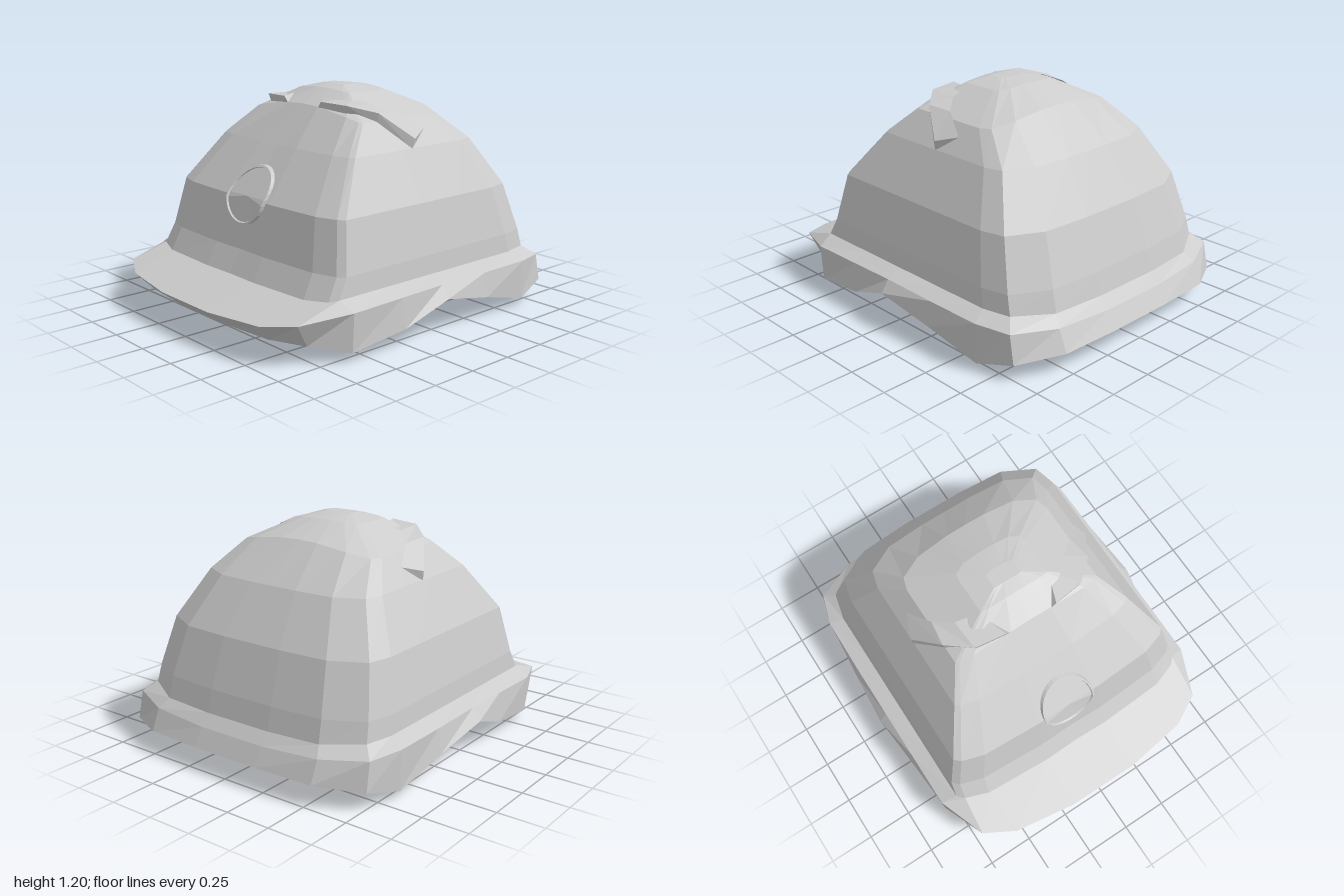
import * as THREE from 'three';

const V = (x, y, z) => new THREE.Vector3(x, y, z);

// Faceted skin over a list of point rows; closed rows wrap around, ends may be capped
function loft(rows, closed = true, capStart = false, capEnd = false) {
  const pos = [];
  const tri = (a, b, c) => {
    for (const p of [a, b, c]) pos.push(p.x, p.y, p.z);
  };
  for (let r = 0; r < rows.length - 1; r++) {
    const lo = rows[r], hi = rows[r + 1], n = lo.length;
    for (let j = 0; j < (closed ? n : n - 1); j++) {
      const k = (j + 1) % n;
      tri(lo[j], lo[k], hi[k]);
      tri(lo[j], hi[k], hi[j]);
    }
  }
  const cap = (row, flip) => {
    const c = row.reduce((s, p) => s.add(p), V(0, 0, 0)).divideScalar(row.length);
    row.forEach((p, j) => {
      const q = row[(j + 1) % row.length];
      if (flip) tri(c, q, p); else tri(c, p, q);
    });
  };
  if (capStart) cap(rows[0], true);
  if (capEnd) cap(rows[rows.length - 1], false);
  const g = new THREE.BufferGeometry();
  g.setAttribute('position', new THREE.Float32BufferAttribute(pos, 3));
  g.computeVertexNormals();
  return g;
}

// Half outlines running from front centre round the left side to back centre
const BASE = [[0, .28, .715], [.2, .28, .72], [.57, .28, .70], [.70, .29, .655], [.735, .3, .62], [.735, .3, .27], [.735, .3, 0],
  [.735, .3, -.33], [.735, .3, -.62], [.70, .3, -.77], [.5, .285, -.88], [.2, .28, -.9], [0, .28, -.9]];
const RIM = [[0, .19, 1], [.2, .19, 1], [.55, .2, .95], [.72, .225, .86], [.82, .255, .6], [.82, .26, .28], [.82, .265, 0],
  [.82, .262, -.33], [.815, .26, -.65], [.76, .25, -.83], [.53, .235, -.93], [.2, .22, -.95], [0, .22, -.95]];
const HEM = [[0, .1, .89], [.2, .1, .89], [.5, .1, .86], [.69, .1, .78], [.81, .055, .6], [.835, .1, .27], [.865, .2, 0],
  [.84, .13, -.33], [.81, .045, -.65], [.765, .1, -.86], [.53, .12, -.98], [.2, .125, -1], [0, .125, -1]];

const ring = (half) => [
  ...half.map((p) => V(...p)),
  ...half.slice(1, -1).reverse().map(([x, y, z]) => V(-x, y, z)),
];

// Dome level: the base outline rescaled, with the sides sagging by drop
function level(y, halfWidth, front, back, drop = 0) {
  return ring(BASE.map(([x, , z]) => {
    const u = x / .735;
    return [u * halfWidth, y - drop * u * u, z > 0 ? z * front / .72 : z * back / .9];
  }));
}

// Depth of the dome's front face at height y
const frontZ = (y) => (y < .66 ? .655 - (y - .4) * .21 : .6 - (y - .66) * .84);

export function createModel() {
  const model = new THREE.Group();
  const shell = new THREE.MeshStandardMaterial({ color: 0xcccccc });
  shell.name = 'light grey shell';
  const add = (name, geometry) => {
    const mesh = new THREE.Mesh(geometry, shell);
    mesh.name = name;
    model.add(mesh);
  };

  // Dome
  add('dome', loft([
    ring(BASE),
    level(.4, .725, .655, .87),
    level(.66, .67, .6, .78),
    level(.915, .535, .39, .61),
    level(1.115, .43, .22, .4, .06),
    level(1.19, .2, .08, .2, .015),
    level(1.205, .08, .01, .08),
  ], true, false, true));

  // Brim and its closed, banded underside
  add('brim', loft([ring(HEM), ring(RIM), ring(BASE)]));
  add('underside', loft(HEM.slice(1, -1).map(([x, y, z], i) =>
    [1, .5, 0, -.5, -1].map((t) => {
      const sag = i === 7 ? 1 - t * t : 0;
      return V(x * t, y - .037 * sag, z + .03 * sag);
    })), false));

  // Raised brow ridges: inner edge, outer top edge, outer lower edge
  const brow = [
    [[.21, 1.15, .06], [.15, 1.14, .225], [.11, 1.09, .22]],
    [[.33, 1.13, .03], [.32, 1.135, .2], [.3, 1.07, .19]],
    [[.42, 1.09, -.05], [.44, 1.10, .09], [.43, 1.04, .09]],
    [[.49, 1.0, -.19], [.545, .965, -.07], [.535, .91, -.06]],
  ];
  for (const side of [1, -1]) {
    const rows = brow.map((s) => {
      const row = s.map(([x, y, z]) => V(side * x, y, z));
      return side < 0 ? row.reverse() : row;
    });
    add(side > 0 ? 'leftBrow' : 'rightBrow', loft(rows, true, true, true));
  }

  // Round badge with a raised rim, bent to follow the front of the dome
  const profile = [[.155, -.03], [.155, .024], [.145, .024], [.141, .015], [0, .015]];
  let badge = new THREE.LatheGeometry(profile.map((p) => new THREE.Vector2(...p)), 32);
  badge.rotateX(Math.PI / 2);
  const p = badge.attributes.position;
  for (let i = 0; i < p.count; i++) {
    const y = .675 + p.getY(i) * .93;
    p.setXYZ(i, p.getX(i), y, frontZ(y) + p.getZ(i));
  }
  badge = badge.toNonIndexed();
  badge.computeVertexNormals();
  add('badge', badge);

  return model;
}
